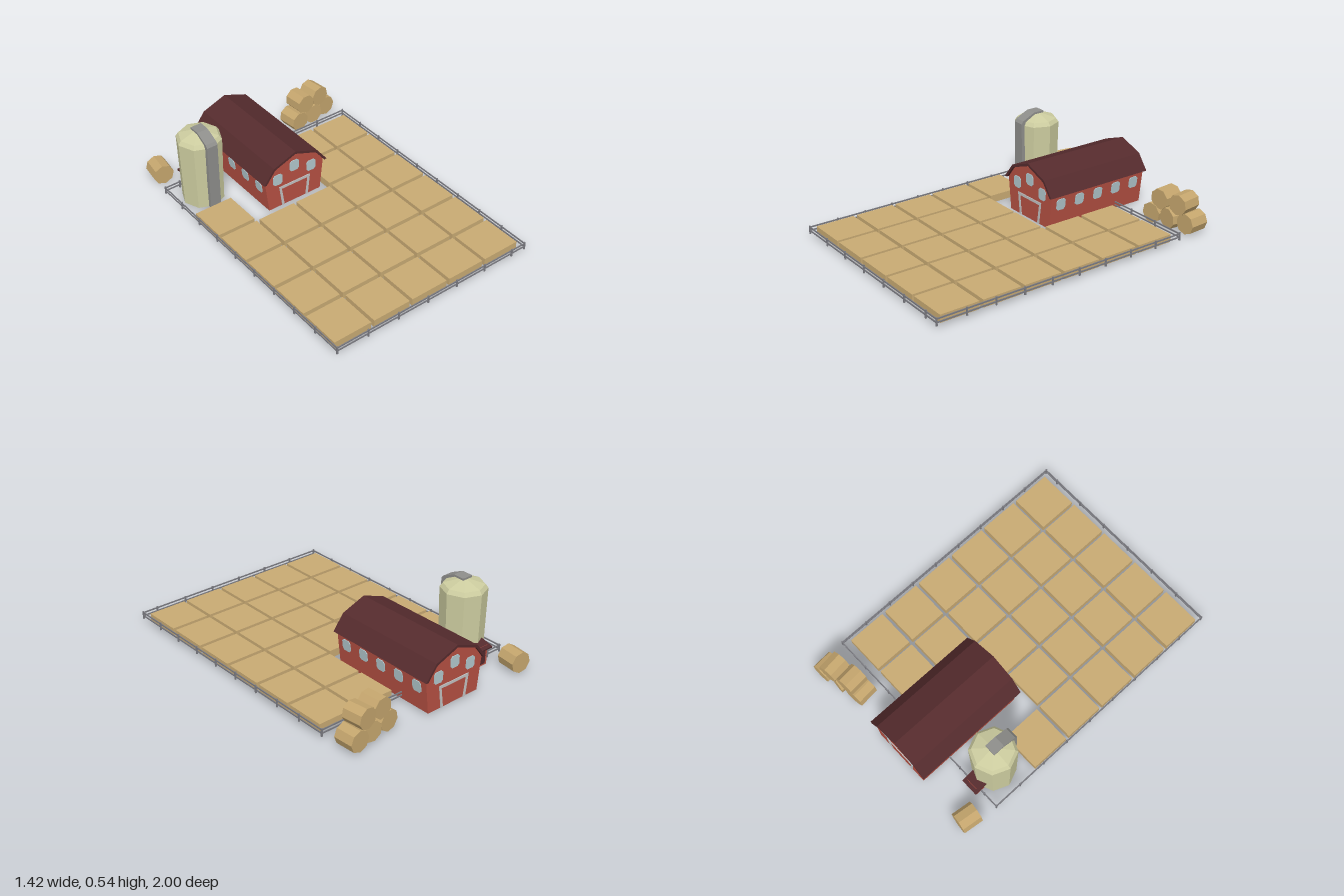
import * as THREE from 'three';

const mat = (name, color, extra = {}) => {
  const m = new THREE.MeshStandardMaterial({ color, ...extra });
  m.name = name;
  return m;
};

export function createModel() {
  const D = { side: THREE.DoubleSide };
  const straw = mat('straw', 0xc8aa73);
  const red = mat('barn red', 0xb55042, D);
  const maroon = mat('roof maroon', 0x552b2d);
  const cream = mat('silo cream', 0xcccc9f, { flatShading: true });
  const grey = mat('chute grey', 0x8e8e8b);
  const steel = mat('fence grey', 0x7c7c82);
  const trim = mat('trim grey', 0xc2c2c2);
  const glass = mat('window blue', 0xb2c8cd);
  const bale = mat('hay bale', 0xc4a56d, { flatShading: true });

  const model = new THREE.Group();
  const add = (parent, name, geo, material, x = 0, y = 0, z = 0) => {
    const m = new THREE.Mesh(geo, material);
    m.name = name;
    m.position.set(x, y, z);
    parent.add(m);
    return m;
  };
  const group = (parent, name, x = 0, y = 0, z = 0) => {
    const g = new THREE.Group();
    g.name = name;
    g.position.set(x, y, z);
    parent.add(g);
    return g;
  };
  const shape = (pts) => new THREE.Shape(pts.map(([x, y]) => new THREE.Vector2(x, y)));
  // flat outline extruded and centred on z
  const slab = (pts, depth) =>
    new THREE.ExtrudeGeometry(shape(pts), { depth, bevelEnabled: false }).translate(0, 0, -depth / 2);
  const mirrorX = (pts) => pts.map(([x, y]) => [-x, y]).reverse();

  // Crop plots, leaving the back corner free for the buildings
  const field = group(model, 'field');
  const plotGeo = new THREE.BoxGeometry(0.256, 0.05, 0.256);
  for (let r = 0; r < 6; r++) {
    for (let c = 0; c < 5; c++) {
      if ((r === 0 && c < 3) || (r === 1 && (c === 1 || c === 2))) continue;
      add(field, 'plot', plotGeo, straw, -0.562 + c * 0.2775, 0.037, -0.58 + r * 0.281);
    }
  }

  // Fence
  const fence = group(model, 'fence');
  const X = 0.703, Z0 = -0.757, Z1 = 0.993, midZ = (Z0 + Z1) / 2;
  for (const y of [0.04, 0.062]) {
    for (const z of [Z0, Z1]) add(fence, 'rail', new THREE.BoxGeometry(2 * X, 0.009, 0.005), steel, 0, y, z);
    for (const x of [-X, X]) add(fence, 'rail', new THREE.BoxGeometry(0.005, 0.009, Z1 - Z0), steel, x, y, midZ);
  }
  const postGeo = new THREE.BoxGeometry(0.009, 0.052, 0.009);
  const post = (x, z) => add(fence, 'post', postGeo, steel, x, 0.045, z);
  for (let i = 0; i < 7; i++) {
    post(-X + i * 0.217, Z1);
    post(X - i * 0.217, Z0);
  }
  for (let i = 0; i < 10; i++) {
    for (const x of [-X, X]) post(x, Z0 + (i * (Z1 - Z0)) / 9);
  }

  // Barn: open-bottomed shell, origin at the middle of its floor
  const barn = group(model, 'barn', -0.09, 0, -0.595);
  const half = 0.37;
  const w = 0.034, h = 0.038, k = 0.013;
  const windowGeo = slab([
    [-w + k, -h], [w - k, -h], [w, -h + k], [w, h - k],
    [w - k, h], [-w + k, h], [-w, h - k], [-w, -h + k]], 0.009);

  const gableHalf = [[0.195, 0.015], [0.22, 0.228], [0.158, 0.318], [0, 0.377]];
  const gableGeo = new THREE.ShapeGeometry(shape([...gableHalf, ...mirrorX(gableHalf).slice(1)]));
  const doorHalf = [[0.098, 0.015], [0.117, 0.161]];
  const innerHalf = [[0.099, 0.143], [0.081, 0.015]];
  const doorGeo = slab([...doorHalf, ...mirrorX(doorHalf), ...mirrorX(innerHalf), ...innerHalf], 0.009);

  for (const s of [1, -1]) {
    // end wall
    const end = group(barn, s > 0 ? 'frontWall' : 'backWall', 0, 0, s * half);
    if (s < 0) end.rotation.y = Math.PI;
    add(end, 'gable', gableGeo, red);
    add(end, 'doorFrame', doorGeo, trim);
    add(end, 'loftWindow', windowGeo, glass, 0, 0.28, 0);
    for (const x of [-0.126, 0.126]) add(end, 'endWindow', windowGeo, glass, x, 0.224, 0);

    // long wall, leaning outwards
    const side = group(barn, s > 0 ? 'leftWall' : 'rightWall', s * 0.2075, 0.1215, 0);
    side.rotation.order = 'YXZ';
    side.rotation.set(Math.atan2(0.025, 0.213), (s * Math.PI) / 2, 0);
    add(side, 'wall', new THREE.PlaneGeometry(2 * half, 0.2145), red);
    for (let i = -2; i <= 2; i++) add(side, 'sideWindow', windowGeo, glass, i * 0.147, 0.049, 0);
  }

  // Gambrel roof
  const outer = [[0.237, 0.233], [0.162, 0.331], [0, 0.391]];
  const inner = [[0, 0.374], [0.153, 0.317], [0.22, 0.231]];
  add(barn, 'barnRoof', slab([
    ...outer, ...mirrorX(outer).slice(1),
    ...mirrorX(inner), ...inner.slice(1)], 0.775), maroon);

  // Silo
  const silo = group(model, 'silo', -0.522, 0, -0.608);
  const profile = [[0, 0.015], [0.134, 0.015], [0.144, 0.46], [0.126, 0.485], [0, 0.524]]
    .map(([x, y]) => new THREE.Vector2(x, y));
  add(silo, 'siloBody', new THREE.LatheGeometry(profile, 8), cream);
  // chute up the front and over the dome; outline drawn in (z, y), then turned
  const chute = add(silo, 'chute', slab([
    [0.125, 0.02], [0.148, 0.02], [0.151, 0.475], [0.137, 0.494], [0.05, 0.535],
    [-0.025, 0.535], [-0.025, 0.522], [0.045, 0.522], [0.12, 0.482]], 0.074), grey);
  chute.rotation.y = -Math.PI / 2;

  // Small shed behind the silo
  const shed = group(model, 'shed', -0.522, 0, -0.735);
  add(shed, 'shedBody', new THREE.BoxGeometry(0.08, 0.13, 0.1), red, 0, 0.065, 0);
  const shedRoof = add(shed, 'shedRoof', new THREE.BoxGeometry(0.115, 0.012, 0.15), maroon, 0, 0.136, 0);
  shedRoof.rotation.x = -0.25;
  add(shed, 'shedDoor', new THREE.BoxGeometry(0.045, 0.085, 0.006), maroon, 0, 0.055, -0.051);

  // Hay bales: x, y, z, turn about y
  const baleGeo = new THREE.CylinderGeometry(0.068, 0.068, 0.13, 8).rotateX(Math.PI / 2);
  const bales = group(model, 'hayBales');
  [
    [0.382, 0.073, -0.875, 0.1], [0.515, 0.073, -0.895, -0.08], [0.635, 0.073, -0.923, 0.06],
    [0.44, 0.182, -0.885, 0.08], [0.572, 0.182, -0.91, 0.12], [-0.638, 0.073, -0.93, -0.13],
  ].forEach(([x, y, z, turn], i) => {
    const b = add(bales, 'hayBale', baleGeo, bale, x, y, z);
    b.rotation.set(0, turn, 0.2 + i * 0.3);
  });

  return model;
}
